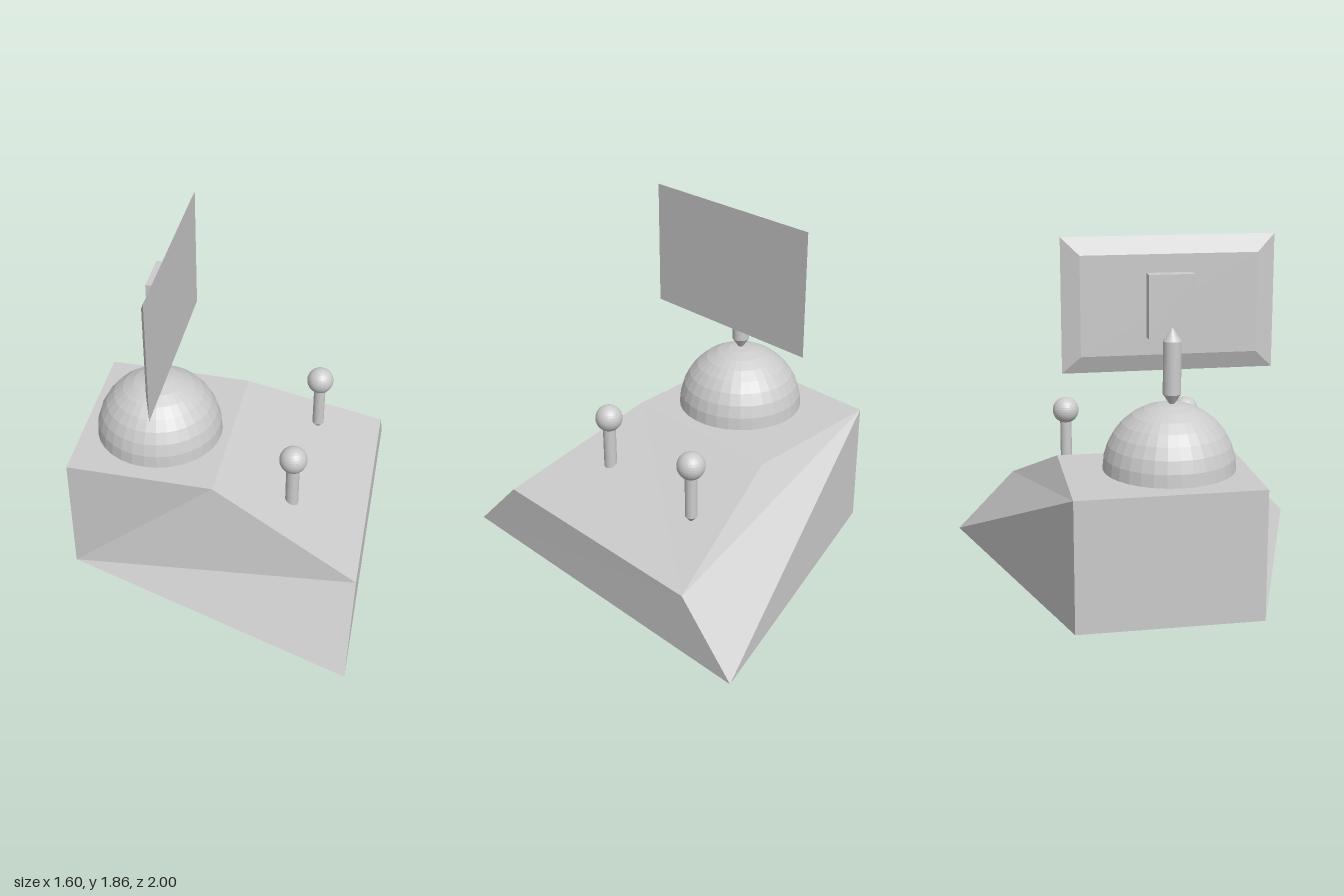
import * as THREE from 'three';

const grey = new THREE.MeshStandardMaterial({ color: 0xcccccc, flatShading: true });
const greyDouble = new THREE.MeshStandardMaterial({ color: 0xcccccc, flatShading: true, side: THREE.DoubleSide });

function add(parent, name, geometry, x, y, z, material = grey) {
  const mesh = new THREE.Mesh(geometry, material);
  mesh.name = name;
  mesh.position.set(x, y, z);
  parent.add(mesh);
  return mesh;
}

// Faceted solid from corner points and polygons (fanned into triangles)
function facetedSolid(corners, faces) {
  const positions = [];
  for (const face of faces) {
    for (let i = 1; i < face.length - 1; i++) {
      for (const k of [face[0], face[i], face[i + 1]]) positions.push(...corners[k]);
    }
  }
  const g = new THREE.BufferGeometry();
  g.setAttribute('position', new THREE.Float32BufferAttribute(positions, 3));
  g.computeVertexNormals();
  return g;
}

// Round rod with a cone at each end
function pointedRod(radius, bottom, top, tip, segments = 32) {
  const profile = [[0, bottom - tip], [radius, bottom], [radius, top], [0, top + tip]];
  return new THREE.LatheGeometry(profile.map(([r, y]) => new THREE.Vector2(r, y)), segments);
}

export function createModel() {
  const model = new THREE.Group();
  model.name = 'console';

  // Wedge-shaped base: floor, back top edge, ridge, front top edge
  const corners = [
    [-0.8, 0, -0.45], [0.76, 0, -1], [0.795, 0, 1], [-0.78, 0, 0.5],
    [-0.8, 0.685, -0.45], [-0.78, 0.685, 0.5],
    [0, 0.665, -0.46], [0, 0.665, 0.485],
    [0.765, 0.34, -0.67], [0.79, 0.34, 0.67],
  ];
  const faces = [
    [3, 7, 5], [3, 9, 7], [3, 2, 9],     // left flank
    [4, 6, 8], [4, 8, 1], [4, 1, 0],     // right flank
    [2, 1, 8, 9], [0, 3, 5, 4],          // ends
    [5, 7, 6, 4], [7, 9, 8, 6],          // deck
    [0, 1, 2, 3],                        // underside
  ];
  add(model, 'base', facetedSolid(corners, faces), 0, 0, 0);

  // Dome floating just above the deck
  const dome = new THREE.SphereGeometry(0.34, 32, 8, 0, Math.PI * 2, 0, Math.PI / 2);
  add(model, 'dome', dome, -0.38, 0.693, 0.08, greyDouble);

  // Pole carrying the screen
  add(model, 'pole', pointedRod(0.046, 1.08, 1.35, 0.07), -0.388, 0, 0.09);

  // Screen, slightly turned, with a bevelled back
  const screenGroup = new THREE.Group();
  screenGroup.name = 'screen';
  screenGroup.position.set(-0.302, 1.52, 0.0875);
  screenGroup.rotation.y = 0.018;
  model.add(screenGroup);

  const panel = new THREE.BoxGeometry(0.036, 0.68, 1.075);
  const p = panel.attributes.position;
  for (let i = 0; i < p.count; i++) {
    if (p.getX(i) < 0) {
      p.setY(i, p.getY(i) * 0.74);
      p.setZ(i, p.getZ(i) * 0.83);
    }
  }
  panel.computeVertexNormals();
  add(screenGroup, 'panel', panel, 0, 0, 0);
  add(screenGroup, 'bracket', new THREE.BoxGeometry(0.072, 0.32, 0.23), -0.052, 0, -0.002);

  // Two ball-topped levers on the sloping deck
  const levers = [
    ['rightLever', 0.425, 0.8, -0.375, 0.032],
    ['leftLever', 0.39, 0.785, 0.305, 0.035],
  ];
  for (const [name, x, y, z, radius] of levers) {
    const lever = new THREE.Group();
    lever.name = name;
    lever.position.set(x, y, z);
    add(lever, 'knob', new THREE.SphereGeometry(0.073, 32, 16), 0, 0, 0);
    add(lever, 'stick', pointedRod(radius, -0.295, -0.03, 0.04), 0, 0, 0);
    model.add(lever);
  }

  return model;
}
